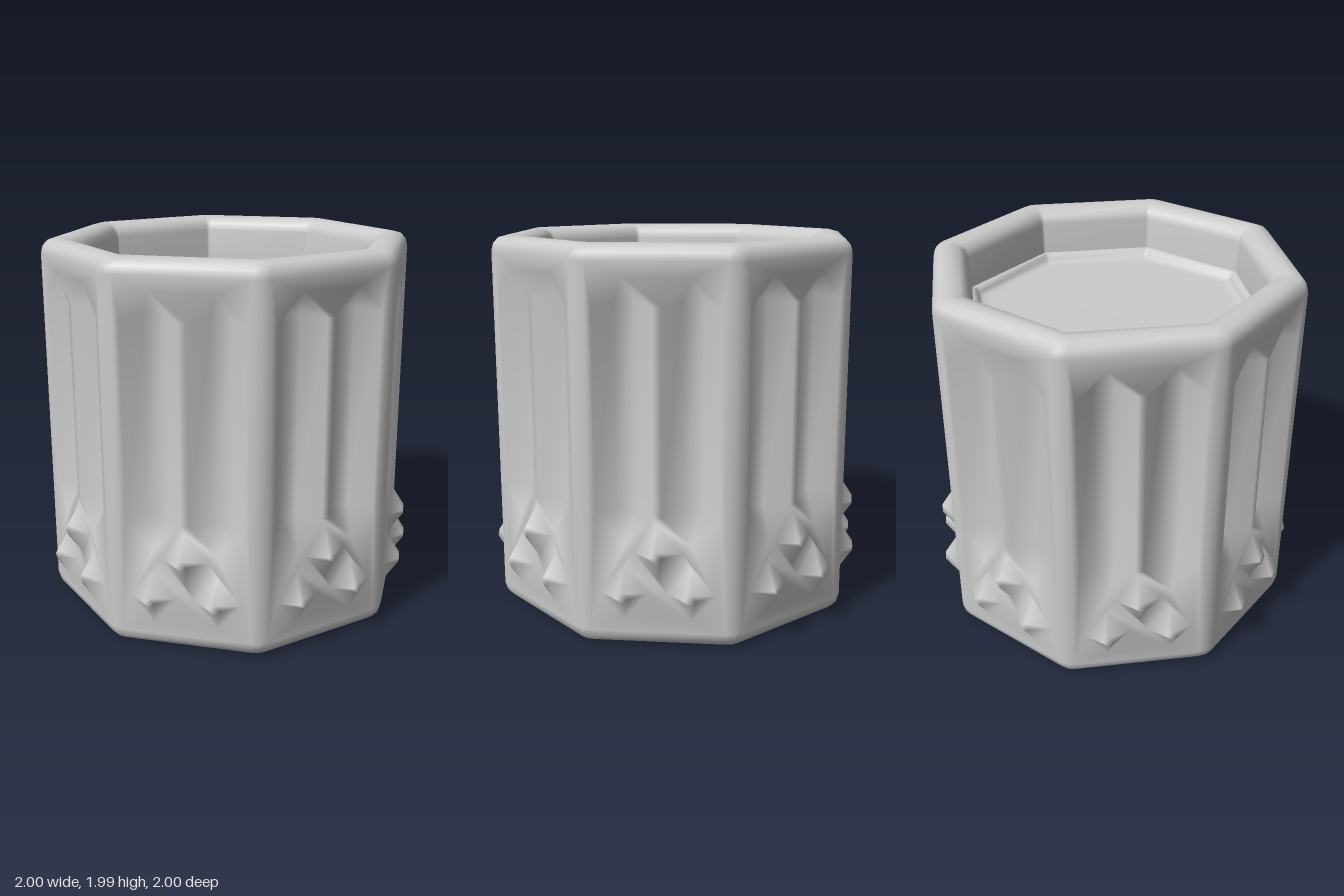
import * as THREE from 'three';
import { mergeVertices } from 'three/addons/utils/BufferGeometryUtils.js';

const SIDES = 8, A = 0.925, BEVEL = 0.045, Y0 = 0.08, Y1 = 1.91;
const TAN = Math.tan(Math.PI / SIDES);

// Point on side i: u along the side, y up, d outward from the axis
function onSide(i, u, y, d) {
  const t = (i * 2 * Math.PI) / SIDES, s = Math.sin(t), c = Math.cos(t);
  return [u * c + d * s, y, -u * s + d * c];
}

// Collects polygons (counter-clockwise from outside) into one triangle list
function facet(out, pts) {
  for (let k = 1; k < pts.length - 1; k++) out.push(...pts[0], ...pts[k], ...pts[k + 1]);
}

// Octagonal ring with softened corners
function ring([a, y, bevel]) {
  const pts = [], h = Math.max(0, a * TAN - bevel);
  for (let i = 0; i < SIDES; i++) {
    pts.push(onSide(i, -h, y, a), onSide(i, h, y, a));
    const mid = onSide(i, h + bevel * 0.6, y, a);
    const next = onSide(i + 1, -h - bevel * 0.6, y, a);
    pts.push(mid.map((v, k) => (v + next[k]) / 2));
  }
  return pts;
}

function loft(out, profile, keep = () => true) {
  const rings = profile.map(ring);
  for (let r = 0; r < rings.length - 1; r++) {
    const lo = rings[r], hi = rings[r + 1], n = lo.length;
    for (let k = 0; k < n; k++) {
      const m = (k + 1) % n;
      if (keep(k)) facet(out, [lo[k], lo[m], hi[m], hi[k]]);
    }
  }
}

// Pointed flute opening, and the diamond stud outline
const W = 0.143, F = 0.05, DEPTH = 0.1;
const fluteOutline = [[0, 0.54], [W, 0.68], [W, 1.70], [0, 1.84], [-W, 1.70], [-W, 0.68]];
const fluteFloor = [[-F, 0.68], [F, 0.68], [F, 1.72], [-F, 1.72]];
const diamond = (w, h) => [[0, -h], [w, 0], [0, h], [-w, 0]];
const flutes = [-0.163, 0.163];
const studs = [[0, 0.5], [-0.167, 0.285], [0.167, 0.285]];

function addPanel(out, i) {
  const h = A * TAN - BEVEL;
  const v2 = (pts, x, y) => pts.map((p) => new THREE.Vector2(p[0] + x, p[1] + y));
  const shape = new THREE.Shape(v2([[-h, Y0], [h, Y0], [h, Y1], [-h, Y1]], 0, 0));

  // Flutes cut into the side
  for (const cx of flutes) {
    shape.holes.push(new THREE.Path(v2(fluteOutline, cx, 0)));
    const [B, R0, R1, T, L1, L0] = fluteOutline.map((p) => onSide(i, p[0] + cx, p[1], A));
    const [bl, br, tr, tl] = fluteFloor.map((p) => onSide(i, p[0] + cx, p[1], A - DEPTH));
    [[bl, br, tr, tl], [br, R0, R1, tr], [L0, bl, tl, L1],
      [tl, tr, T], [tr, R1, T], [tl, T, L1],
      [bl, B, br], [br, B, R0], [bl, L0, B]].forEach((f) => facet(out, f));
  }

  // Blunt diamond studs
  for (const [cx, cy] of studs) {
    const base2 = diamond(0.12, 0.14);
    shape.holes.push(new THREE.Path(v2(base2, cx, cy)));
    const base = base2.map((p) => onSide(i, p[0] + cx, p[1] + cy, A));
    const tip = diamond(0.028, 0.028).map((p) => onSide(i, p[0] + cx, p[1] + cy, 1));
    facet(out, tip);
    for (let k = 0; k < 4; k++) {
      const m = (k + 1) % 4;
      facet(out, [base[k], base[m], tip[m], tip[k]]);
    }
  }

  // Flat remainder of the side
  const flat = new THREE.ShapeGeometry(shape).toNonIndexed().attributes.position;
  for (let k = 0; k < flat.count; k++) out.push(...onSide(i, flat.getX(k), flat.getY(k), A));
}

function smoothMesh(positions, name) {
  let geo = new THREE.BufferGeometry();
  geo.setAttribute('position', new THREE.Float32BufferAttribute(positions, 3));
  geo = mergeVertices(geo, 1e-4);
  geo.computeVertexNormals();
  const mesh = new THREE.Mesh(geo, new THREE.MeshStandardMaterial({ color: 0xcccccc }));
  mesh.name = name;
  return mesh;
}

export function createModel() {
  const group = new THREE.Group();
  group.name = 'octagonalTumbler';

  const cup = [];
  // Base and its rounded edge
  loft(cup, [[0, 0, 0], [0.85, 0, 0.04], [0.89, 0.012, 0.04], [0.915, 0.04, BEVEL], [A, Y0, BEVEL]]);
  // Corner strips between the decorated sides
  loft(cup, [[A, Y0, BEVEL], [A, Y1, BEVEL]], (k) => k % 3 !== 0);
  for (let i = 0; i < SIDES; i++) addPanel(cup, i);
  // Rounded rim and inner wall
  loft(cup, [[A, Y1, BEVEL], [0.915, 1.95, BEVEL], [0.89, 1.977, 0.04], [0.84, 1.99, 0.03],
    [0.785, 1.977, 0.02], [0.755, 1.95, 0.015], [0.742, 1.91, 0.01], [0.732, 1.74, 0.01]]);
  group.add(smoothMesh(cup, 'cup'));

  // Small ledge and recessed floor
  const floor = [];
  loft(floor, [[0.732, 1.74, 0.01], [0.705, 1.735, 0.01], [0.698, 1.71, 0.01],
    [0.68, 1.695, 0.01], [0.64, 1.69, 0.01], [0, 1.69, 0]]);
  group.add(smoothMesh(floor, 'innerFloor'));
  return group;
}
